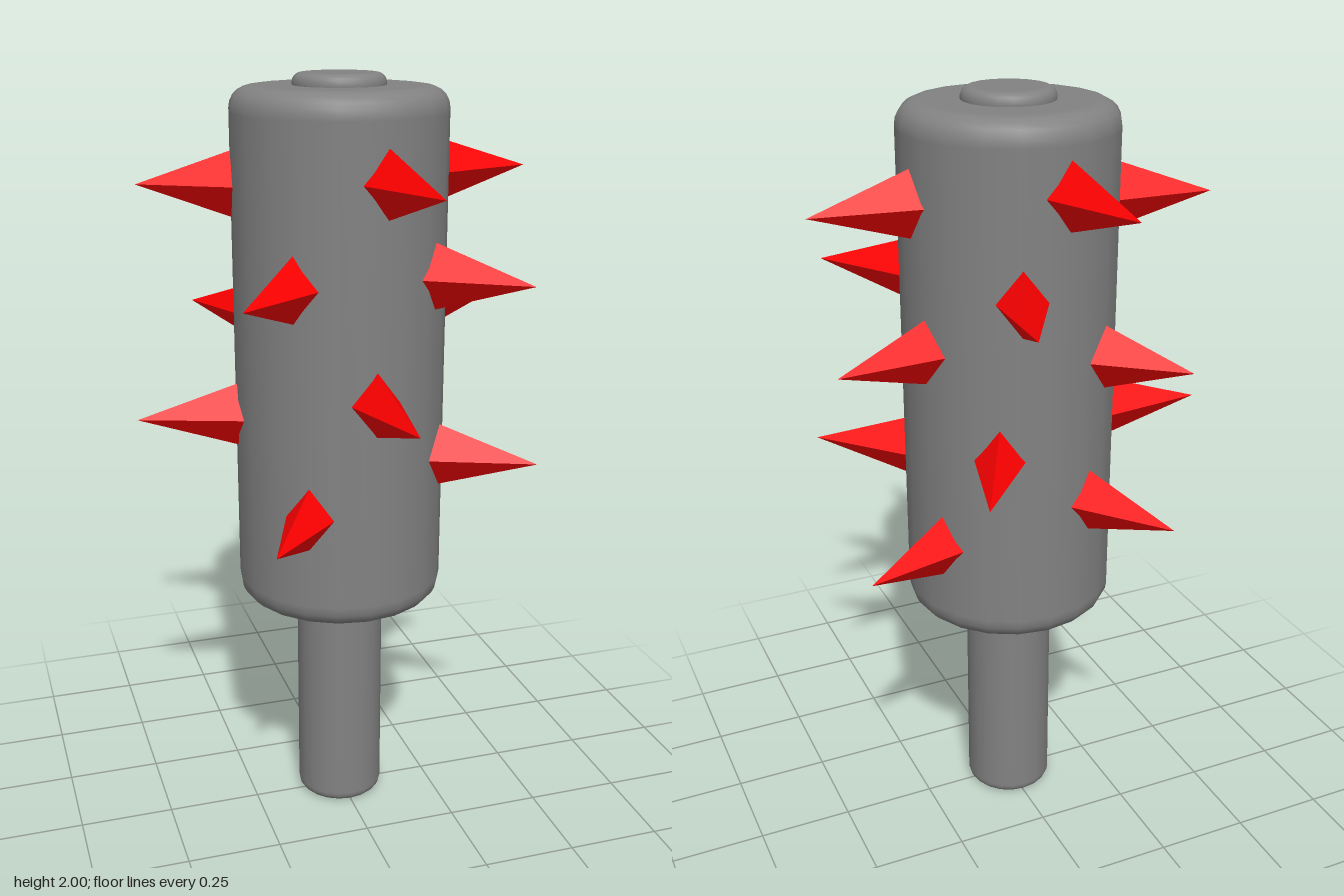
import * as THREE from 'three';

const SIDES = 20;
const CX = -0.001, CZ = -0.006; // axis of the club

// Upright cylinder with rounded rims, smooth shaded
function roundedCylinder(name, radius, y0, y1, bevel, material) {
  const pts = [new THREE.Vector2(0, y0), new THREE.Vector2(radius - bevel * 1.15, y0)];
  const steps = 5;
  for (let i = 0; i <= steps; i++) {
    const a = (i / steps) * Math.PI / 2;
    pts.push(new THREE.Vector2(radius - bevel + bevel * Math.sin(a), y0 + bevel - bevel * Math.cos(a)));
  }
  pts.push(new THREE.Vector2(radius, y0 + bevel * 1.15), new THREE.Vector2(radius, y1 - bevel * 1.15));
  for (let i = 0; i <= steps; i++) {
    const a = (i / steps) * Math.PI / 2;
    pts.push(new THREE.Vector2(radius - bevel + bevel * Math.cos(a), y1 - bevel + bevel * Math.sin(a)));
  }
  pts.push(new THREE.Vector2(radius - bevel * 1.15, y1), new THREE.Vector2(0, y1));
  const mesh = new THREE.Mesh(new THREE.LatheGeometry(pts, SIDES), material);
  mesh.name = name;
  mesh.position.set(CX, 0, CZ);
  return mesh;
}

// Tip of every spike: x, y, z
const SPIKE_TIPS = [
  [-0.075, 1.79, -0.535], [0.153, 1.545, -0.508], [0.257, 1.14, -0.478], [0.474, 0.875, -0.25],
  [0.508, 1.395, -0.172], [0.53, 1.75, -0.067], [0.434, 1.04, 0.304], [0.374, 1.52, 0.374],
  [0.077, 1.76, 0.526], [0.025, 1.225, 0.534], [-0.293, 0.925, 0.435], [-0.35, 1.51, 0.389],
  [-0.53, 1.14, -0.06], [-0.494, 1.73, -0.142], [-0.307, 1.365, -0.415], [-0.231, 0.99, -0.488],
];

export function createModel() {
  const group = new THREE.Group();
  group.name = 'spikedClub';
  const grey = new THREE.MeshStandardMaterial({ color: 0x828282 });
  const red = new THREE.MeshStandardMaterial({ color: 0xff0000, flatShading: true });

  // Handle runs through the head and shows as a small cap on top
  group.add(roundedCylinder('handle', 0.117, 0, 2, 0.024, grey));
  group.add(roundedCylinder('head', 0.274, 0.62, 1.97, 0.055, grey));

  // Four-sided spikes, taller than wide, pointing straight out from the axis
  const baseRadius = 0.25;
  const spikes = new THREE.Group();
  spikes.name = 'spikes';
  SPIKE_TIPS.forEach(([x, y, z], i) => {
    const dx = x - CX, dz = z - CZ;
    const length = Math.hypot(dx, dz) - baseRadius;
    const geometry = new THREE.ConeGeometry(1, length, 4, 1);
    geometry.scale(0.067, 1, 0.09);
    geometry.rotateX(Math.PI / 2);
    geometry.translate(0, 0, baseRadius + length / 2);
    const spike = new THREE.Mesh(geometry, red);
    spike.name = `spike${i + 1}`;
    spike.position.set(CX, y, CZ);
    spike.rotation.y = Math.atan2(dx, dz);
    spikes.add(spike);
  });
  group.add(spikes);
  return group;
}
